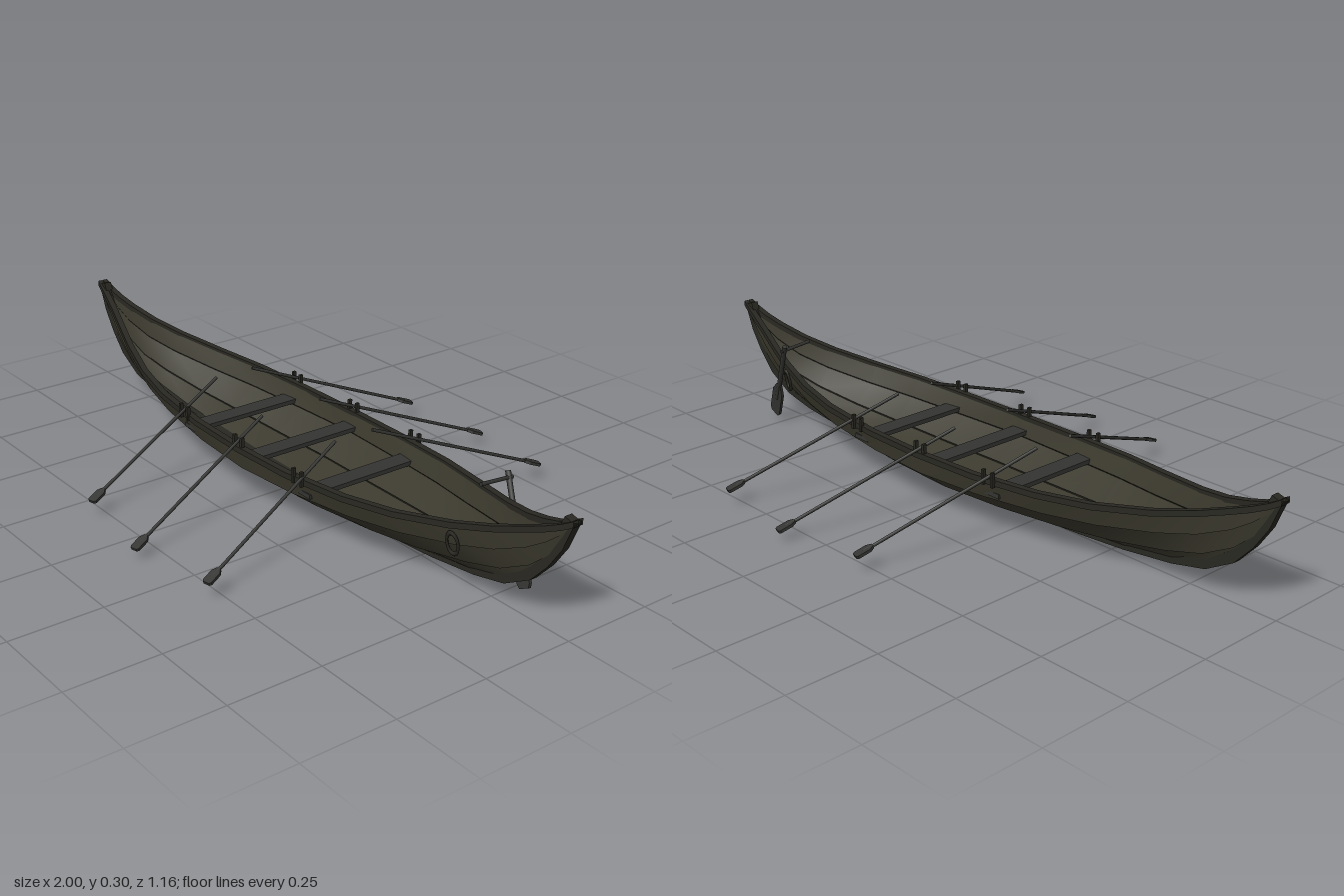
import * as THREE from 'three';
import { mergeGeometries } from 'three/addons/utils/BufferGeometryUtils.js';

// Half-length stations: x, keel height, sheer height, half beam
const HALF = [
  [0, 0, 0.16, 0.195], [0.2, 0.002, 0.162, 0.19], [0.4, 0.01, 0.17, 0.17],
  [0.55, 0.02, 0.18, 0.138], [0.7, 0.038, 0.2, 0.093], [0.8, 0.06, 0.222, 0.06],
  [0.88, 0.105, 0.247, 0.036], [0.93, 0.16, 0.265, 0.024], [0.97, 0.22, 0.283, 0.016],
  [1, 0.295, 0.3, 0.011],
];
const STATIONS = [...HALF.slice(1).reverse().map(([x, ...r]) => [-x, ...r]), ...HALF];

// Section corners as fractions of beam and depth: full amidships, sharp at the ends
const FULL = [[0.04, 0.06], [0.5, 0.26], [0.93, 0.65], [1, 1]];
const SHARP = [[0.06, 0.06], [0.36, 0.3], [0.76, 0.65], [1, 1]];

export function createModel() {
  const model = new THREE.Group();
  const material = (name, color, side = THREE.FrontSide) => {
    const m = new THREE.MeshStandardMaterial({ color, side });
    m.name = name;
    return m;
  };
  const timber = material('olive timber', 0x3b392d, THREE.DoubleSide);
  const trim = material('dark trim', 0x292822, THREE.DoubleSide);
  const grey = material('grey wood', 0x343432);

  const add = (parent, name, geometry, mat) => {
    const mesh = new THREE.Mesh(geometry, mat);
    mesh.name = name;
    parent.add(mesh);
    return mesh;
  };

  // Strip of quads between two rows of points
  const strip = (a, b) => {
    const index = [];
    const n = a.length;
    for (let i = 0; i < n - 1; i++) index.push(i, i + 1, n + i, i + 1, n + i + 1, n + i);
    const g = new THREE.BufferGeometry().setFromPoints([...a, ...b]);
    g.setIndex(index);
    g.computeVertexNormals();
    return g;
  };

  // Row of points along one corner of the section
  const row = (corner, side, inset, lap) => STATIONS.map(([x, k, s, w]) => {
    const t = Math.min(1, Math.abs(x) / 0.85);
    const fz = THREE.MathUtils.lerp(FULL[corner][0], SHARP[corner][0], t);
    const fy = THREE.MathUtils.lerp(FULL[corner][1], SHARP[corner][1], t);
    const keel = Math.min(k + inset, s);
    const beam = Math.max(w - inset, 0.002);
    const out = lap * Math.min(1, w / 0.05);
    return new THREE.Vector3(x, keel + (s - keel) * fy - out * 0.6, side * (beam * fz + out));
  });

  // Overlapping strakes, their lap edges and the inner lining
  const strakes = [], laps = [], lining = [];
  for (const side of [1, -1]) {
    for (let c = 0; c < 3; c++) {
      strakes.push(strip(row(c, side, 0, c ? 0.005 : 0), row(c + 1, side, 0, 0)));
      lining.push(strip(row(c, side, 0.012, 0), row(c + 1, side, 0.012, 0)));
      if (c) {
        laps.push(strip(row(c, side, 0, 0), row(c, side, 0, 0.005)));
        laps.push(strip(row(c, side, 0.012, 0), row(c, side, 0.015, 0).map((p) => p.setY(p.y + 0.003))));
      }
    }
  }
  const hull = new THREE.Group();
  hull.name = 'hull';
  model.add(hull);
  add(hull, 'strakes', mergeGeometries(strakes), timber);
  add(hull, 'innerLining', mergeGeometries(lining), timber);
  add(hull, 'strakeLaps', mergeGeometries(laps), trim);

  // Gunwale: rectangular rail following the sheer
  const rails = [];
  for (const side of [1, -1]) {
    const corners = [[0.004, 0.004], [-0.014, 0.004], [-0.014, -0.012], [0.004, -0.012]];
    const rows = corners.map(([dz, dy]) => STATIONS.map(([x, , s, w]) =>
      new THREE.Vector3(x, s + dy, side * Math.max(0.001, w + dz))));
    rows.forEach((r, i) => rails.push(strip(r, rows[(i + 1) % 4])));
  }
  add(hull, 'gunwales', mergeGeometries(rails), trim);

  // Keel and stem posts in one curved piece
  const outer = STATIONS.map(([x, k]) => new THREE.Vector2(x, k));
  const inner = STATIONS.map(([x, k, s]) => {
    const t = Math.max(0, (Math.abs(x) - 0.6) / 0.4);
    return new THREE.Vector2(x * (1 - 0.03 * t), Math.min(k + 0.022, s + 0.004));
  });
  const keelShape = new THREE.Shape([...outer, ...inner.reverse()]);
  const keel = new THREE.ExtrudeGeometry(keelShape, { depth: 0.022, bevelEnabled: false });
  add(hull, 'keelAndStems', keel.translate(0, 0, -0.011), trim);

  // Thwarts and thole pins
  const seatX = [-0.253, 0, 0.253];
  for (const x of seatX) {
    add(model, 'seat', new THREE.BoxGeometry(0.052, 0.012, 0.35), grey).position.set(x, 0.122, 0);
    for (const side of [1, -1]) {
      for (const dx of [-0.02, 0.012]) {
        add(model, 'tholePin', new THREE.BoxGeometry(0.008, 0.04, 0.01), trim)
          .position.set(x + dx, 0.17, side * 0.19);
      }
    }
  }

  // Rod between two points
  const rod = (parent, name, a, b, radius, mat) => {
    const dir = b.clone().sub(a);
    const mesh = add(parent, name, new THREE.CylinderGeometry(radius, radius, dir.length(), 8), mat);
    mesh.position.copy(a).add(b).multiplyScalar(0.5);
    mesh.quaternion.setFromUnitVectors(new THREE.Vector3(0, 1, 0), dir.normalize());
  };

  // Oar with a flat blade at its far end; "flat" is the blade's normal
  const oar = (name, a, b, radius, bladeLength, bladeWidth, flat) => {
    const group = new THREE.Group();
    group.name = name;
    model.add(group);
    const dir = b.clone().sub(a).normalize();
    rod(group, 'shaft', a, b.clone().addScaledVector(dir, -bladeLength * 0.5), radius, grey);
    const w = bladeWidth / 2, l = bladeLength;
    const shape = new THREE.Shape([[-w * 0.4, -l], [w * 0.4, -l], [w, -l * 0.75], [w, -l * 0.1],
      [w * 0.7, 0], [-w * 0.7, 0], [-w, -l * 0.1], [-w, -l * 0.75]].map((p) => new THREE.Vector2(...p)));
    const g = new THREE.ExtrudeGeometry(shape, { depth: 0.008, bevelEnabled: false }).translate(0, 0, -0.004);
    const across = dir.clone().cross(flat).normalize();
    const blade = add(group, 'blade', g, grey);
    blade.quaternion.setFromRotationMatrix(
      new THREE.Matrix4().makeBasis(across, dir, across.clone().cross(dir)));
    blade.position.copy(b);
    return group;
  };

  // Three rowing oars on each side
  const up = new THREE.Vector3(0, 1, 0);
  [[-0.295, 0], [-0.032, 0.035], [0.232, 0]].forEach(([x, dz]) => {
    for (const side of [1, -1]) {
      oar('rowingOar', new THREE.Vector3(x, 0.225 - dz * 0.38, side * (0.06 + dz)),
        new THREE.Vector3(x + 0.13, 0.042 - dz * 0.38, side * (0.54 + dz)), 0.0045, 0.05, 0.026, up);
    }
  });

  // Steering oar with tiller on the right-hand quarter
  const top = new THREE.Vector3(0.668, 0.262, -0.114);
  const steering = oar('steeringOar', top, new THREE.Vector3(0.792, 0.016, -0.068),
    0.007, 0.12, 0.045, new THREE.Vector3(0, 0, 1));
  rod(steering, 'tiller', new THREE.Vector3(0.676, 0.247, -0.122),
    new THREE.Vector3(0.676, 0.256, -0.02), 0.005, grey);

  // Rope loops on both quarters
  for (const side of [1, -1]) {
    const loop = add(model, 'ropeLoop', new THREE.TorusGeometry(0.02, 0.0045, 6, 16), trim);
    loop.scale.set(0.75, 1.5, 1);
    loop.position.set(0.7, 0.145, side * 0.084);
    loop.rotation.set(side * 0.2, side * 0.3, 0);
  }
  return model;
}
